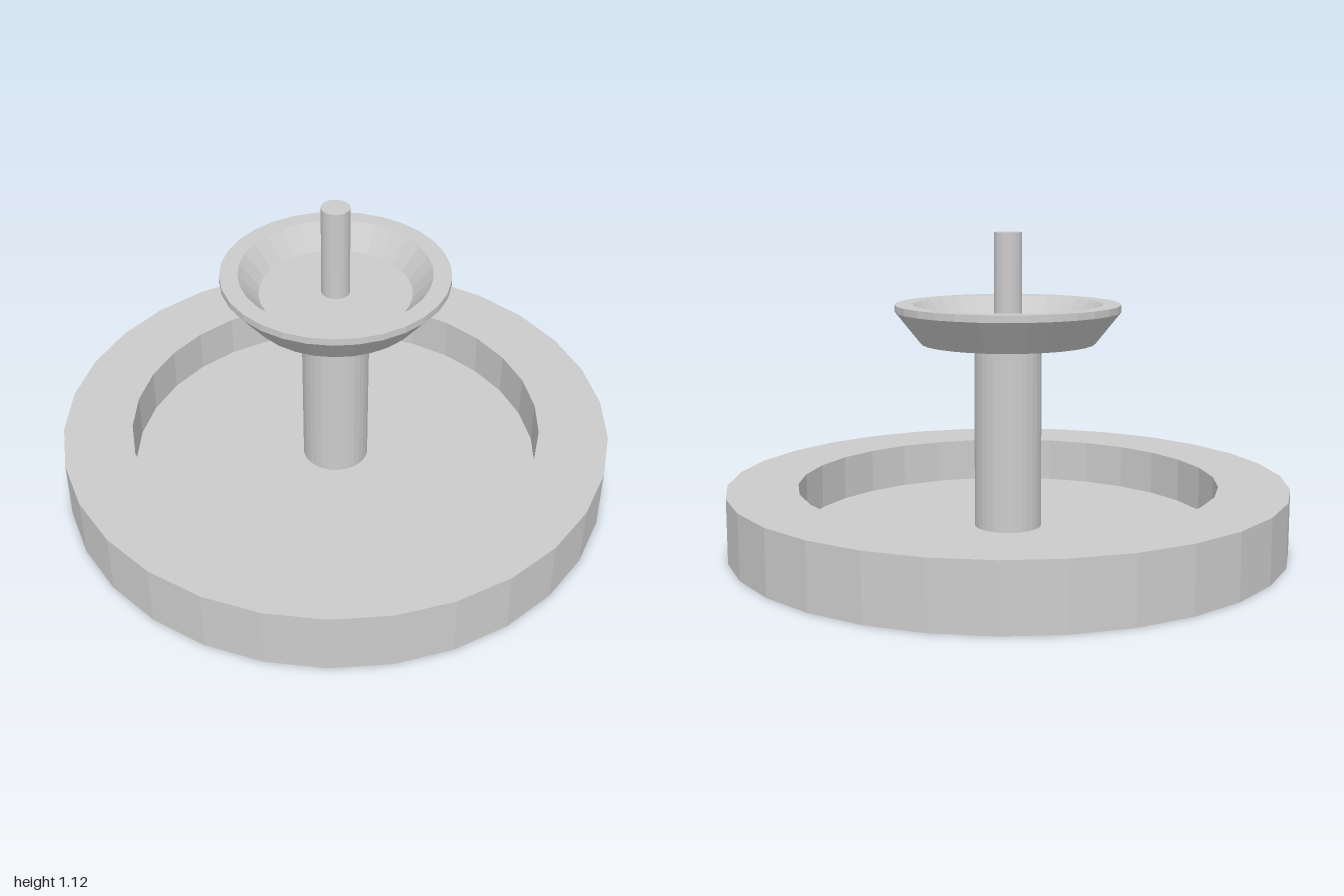
import * as THREE from 'three';

const SIDES = 30;
const material = new THREE.MeshStandardMaterial({ color: 0xcccccc, flatShading: true });

// Revolve [radius, height] pairs, listed from the bottom centre, up the outside, to the top centre.
function turned(name, profile) {
  const points = profile.map(([r, y]) => new THREE.Vector2(r, y));
  const mesh = new THREE.Mesh(new THREE.LatheGeometry(points, SIDES, Math.PI / 2), material);
  mesh.name = name;
  return mesh;
}

// Upright cylinder between two heights, with corners on the x axis.
function post(name, radius, bottom, top) {
  const geometry = new THREE.CylinderGeometry(radius, radius, top - bottom, SIDES, 1, false, Math.PI / 2);
  const mesh = new THREE.Mesh(geometry, material);
  mesh.position.y = (bottom + top) / 2;
  mesh.name = name;
  return mesh;
}

export function createModel() {
  const fountain = new THREE.Group();
  fountain.name = 'fountain';

  const basinFloor = 0.065;
  const bowlBottom = 0.73;
  const bowlFloor = 0.785;

  fountain.add(
    // Wide ground basin with a thick rim
    turned('basin', [[0, 0], [1, 0], [1, 0.228], [0.75, 0.228], [0.75, basinFloor], [0, basinFloor]]),
    // Pillar carrying the bowl
    post('column', 0.12, basinFloor, bowlBottom),
    // Flared upper bowl with a narrow upright lip
    turned('upperBowl', [
      [0, bowlBottom], [0.31, bowlBottom], [0.4, 0.843], [0.4, 0.868],
      [0.337, 0.868], [0.268, bowlFloor], [0, bowlFloor],
    ]),
    // Water spout
    post('spout', 0.05, bowlFloor, 1.12),
  );
  return fountain;
}
